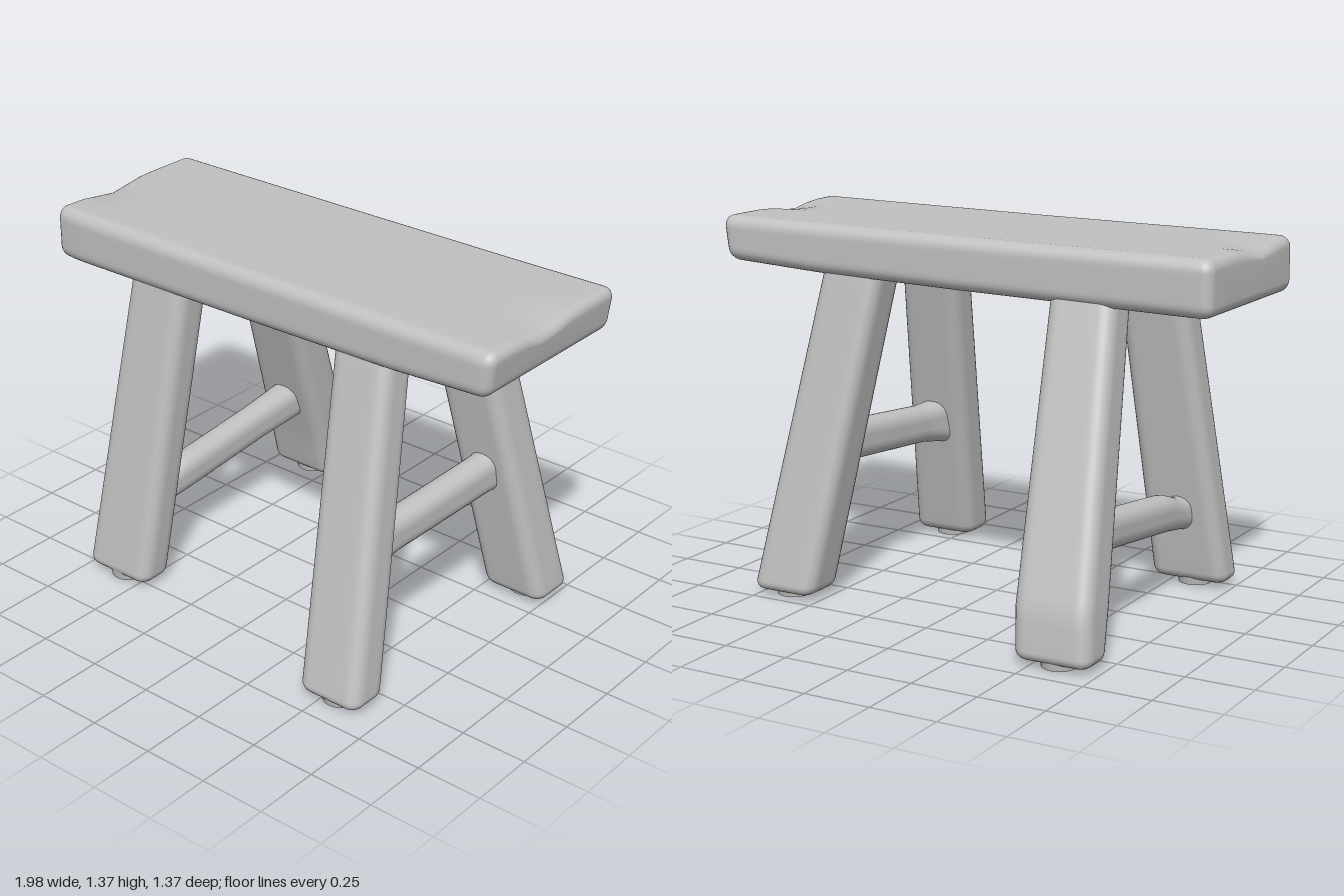
import * as THREE from 'three';

// Rounded-rectangle ring: n points per corner arc, m points along each side
function ring(w, h, r, n = 6, m = 8) {
  const pts = [];
  r = Math.min(r, w / 2 - 0.002, h / 2 - 0.002);
  const corner = (k) => [(k === 0 || k === 3 ? 1 : -1) * (w / 2 - r), (k < 2 ? 1 : -1) * (h / 2 - r)];
  const on = (k, ang) => {
    const [a, b] = corner(k % 4);
    return [a + r * Math.cos(ang), b + r * Math.sin(ang)];
  };
  for (let k = 0; k < 4; k++) {
    for (let i = 0; i <= n; i++) pts.push(on(k, (k + i / n) * Math.PI / 2));
    const p = on(k, (k + 1) * Math.PI / 2), q = on(k + 1, (k + 1) * Math.PI / 2);
    for (let i = 1; i < m; i++) pts.push([p[0] + (q[0] - p[0]) * i / m, p[1] + (q[1] - p[1]) * i / m]);
  }
  return pts;
}

// Interpolate sections [t, centreA, centreB, sizeA, sizeB]
function sample(sections, t) {
  let i = 0;
  while (i < sections.length - 2 && t > sections[i + 1][0]) i++;
  const s = sections[i], e = sections[i + 1], f = (t - s[0]) / (e[0] - s[0]);
  return s.map((v, j) => v + (e[j] - v) * f);
}

// Loft a rounded beam with softened ends; place maps (t, a, b) to a point
function beam(sections, radius, soft, place, steps = 24) {
  const t0 = sections[0][0], t1 = sections[sections.length - 1][0];
  const stations = [];
  for (let k = 0; k <= 5; k++) {
    const g = k / 5 * Math.PI / 2;
    stations.push([t0 + soft * (1 - Math.cos(g)), soft * (1 - Math.sin(g))]);
  }
  for (let k = 1; k < steps; k++) stations.push([t0 + soft + (t1 - t0 - 2 * soft) * k / steps, 0]);
  for (let k = 5; k >= 0; k--) {
    const g = k / 5 * Math.PI / 2;
    stations.push([t1 - soft * (1 - Math.cos(g)), soft * (1 - Math.sin(g))]);
  }
  const pos = [], idx = [];
  let n = 0;
  for (const [t, inset] of stations) {
    const [, ca, cb, wa, wb] = sample(sections, t);
    const pts = ring(wa - 2 * inset, wb - 2 * inset, Math.max(radius - inset, 0.01));
    n = pts.length;
    for (const [a, b] of pts) pos.push(...place(t, ca + a, cb + b));
  }
  for (let s = 0; s < stations.length - 1; s++) {
    for (let i = 0; i < n; i++) {
      const a = s * n + i, b = s * n + (i + 1) % n;
      idx.push(a, b, b + n, a, b + n, a + n);
    }
  }
  // End caps
  const c0 = pos.length / 3, last = (stations.length - 1) * n;
  for (const t of [t0, t1]) {
    const [, ca, cb] = sample(sections, t);
    pos.push(...place(t, ca, cb));
  }
  for (let i = 0; i < n; i++) {
    const j = (i + 1) % n;
    idx.push(c0, j, i, c0 + 1, last + i, last + j);
  }
  const geo = new THREE.BufferGeometry();
  geo.setAttribute('position', new THREE.Float32BufferAttribute(pos, 3));
  geo.setIndex(idx);
  geo.computeVertexNormals();
  return geo;
}

export function createModel() {
  const model = new THREE.Group();
  model.name = 'stool';
  const wood = new THREE.MeshStandardMaterial({ color: 0xc0c0c0 });
  wood.name = 'plain grey';
  const add = (name, geo) => {
    const mesh = new THREE.Mesh(geo, wood);
    mesh.name = name;
    model.add(mesh);
    return mesh;
  };

  // Seat plank: tilted slightly, with worn hollows in the top at both ends
  const seat = [
    [-1, 1.257, 0.022, 0.2, 0.7],
    [-0.9, 1.257, 0.028, 0.2, 0.71],
    [0, 1.267, 0.04, 0.19, 0.715],
    [0.6, 1.277, 0.05, 0.182, 0.715],
    [1, 1.29, 0.053, 0.166, 0.715],
  ];
  add('seat', beam(seat, 0.045, 0.04, (t, a, b) => {
    const top = THREE.MathUtils.smoothstep(a, 1.28, 1.35);
    const end = Math.exp(-Math.pow((1 - Math.abs(t)) / 0.12, 2));
    const hollow = 0.025 * top * end * Math.exp(-Math.pow((b - 0.1) / 0.1, 2));
    const lean = 0.02 * (a - 1.27) / 0.1 * Math.max(0, t);
    return [t * 0.985 + lean * 0.7 - 0.005 * b, a - hollow, b];
  }, 40));

  // Splayed legs: sections along y as [y, z, x, depth, width]
  const legs = {
    frontLeftLeg: [[0.02, 0.605, 0.55, 0.17, 0.26], [1.24, 0.295, 0.44, 0.16, 0.24]],
    frontRightLeg: [[0.02, 0.48, -0.59, 0.15, 0.3], [1.24, 0.285, -0.49, 0.16, 0.26]],
    backLeftLeg: [[0.02, -0.39, 0.64, 0.2, 0.26], [1.24, -0.185, 0.445, 0.18, 0.25]],
    backRightLeg: [[0.02, -0.61, -0.59, 0.16, 0.29], [0.2, -0.575, -0.58, 0.19, 0.29], [1.24, -0.205, -0.49, 0.17, 0.25]],
  };
  for (const [name, sections] of Object.entries(legs)) {
    add(name, beam(sections, 0.05, 0.035, (t, a, b) => [b, t, a]));
    // Small round foot under the leg
    const [, z, x] = sections[0];
    const foot = add(name + 'Foot', new THREE.CylinderGeometry(0.07, 0.062, 0.05, 24));
    foot.position.set(x, 0.025, z);
  }

  // Stretchers joining front and back legs: [z, x, y, width, height]
  const stretchers = {
    leftStretcher: [
      [-0.3, 0.555, 0.555, 0.13, 0.17], [-0.18, 0.55, 0.545, 0.11, 0.15],
      [0.3, 0.52, 0.515, 0.11, 0.145], [0.38, 0.51, 0.51, 0.12, 0.16], [0.47, 0.505, 0.505, 0.15, 0.18],
    ],
    rightStretcher: [
      [-0.52, -0.56, 0.4, 0.13, 0.15], [-0.22, -0.56, 0.37, 0.11, 0.14],
      [0.22, -0.565, 0.322, 0.11, 0.14], [0.33, -0.57, 0.295, 0.1, 0.12], [0.44, -0.57, 0.29, 0.13, 0.15],
    ],
  };
  for (const [name, sections] of Object.entries(stretchers)) {
    add(name, beam(sections, 0.05, 0.02, (t, a, b) => [a, b, t]));
  }
  return model;
}
